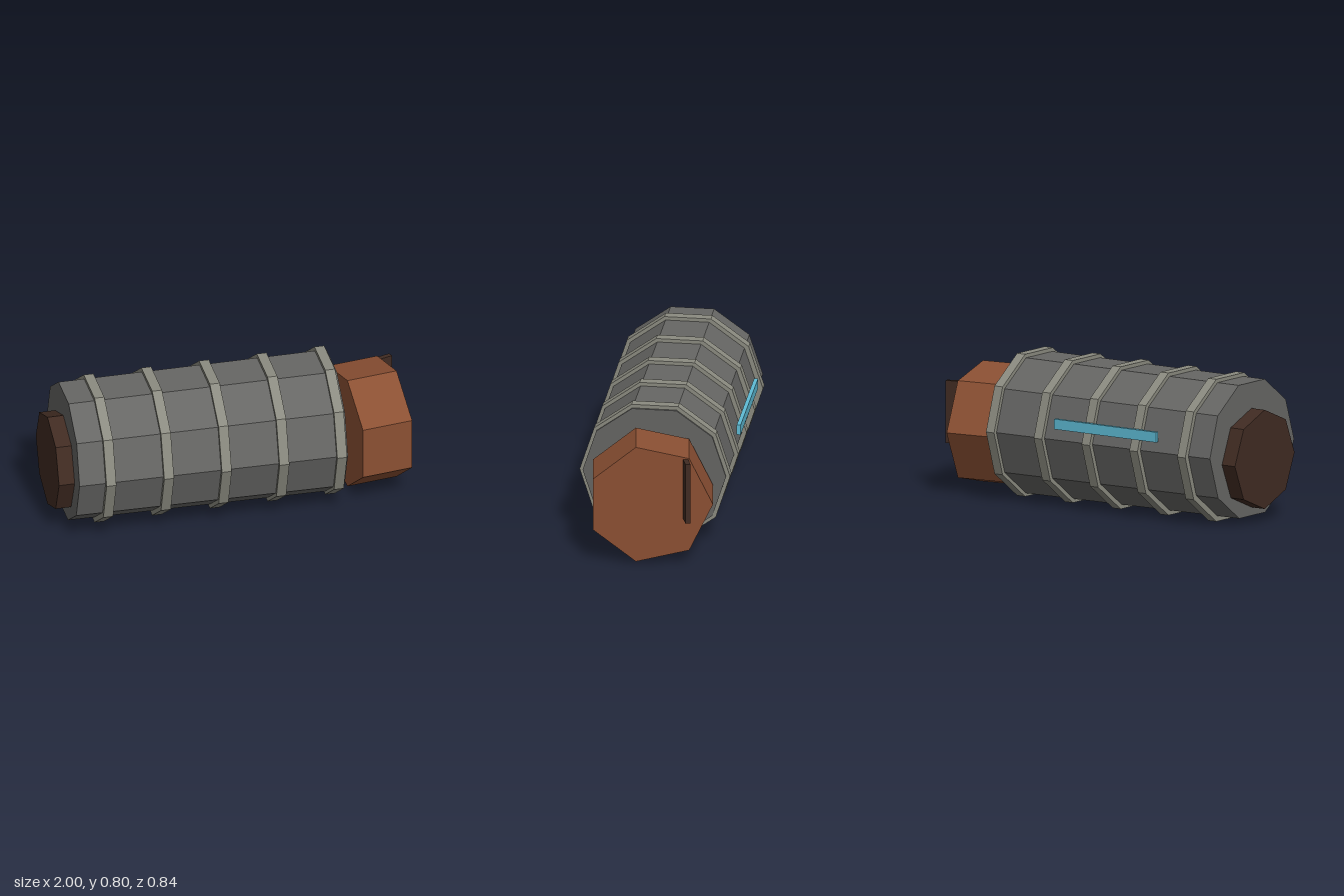
import * as THREE from 'three';

const paint = (color) => new THREE.MeshStandardMaterial({ color, flatShading: true });

// Faceted cylinder lying along x; its first corner points to +z (or -z when turned by PI)
function prism(name, rLeft, rRight, length, sides, material, turn = 0) {
  const geo = new THREE.CylinderGeometry(rRight, rLeft, length, sides);
  geo.rotateY(turn).rotateZ(-Math.PI / 2);
  const mesh = new THREE.Mesh(geo, material);
  mesh.name = name;
  return mesh;
}

function box(name, w, h, d, material) {
  const mesh = new THREE.Mesh(new THREE.BoxGeometry(w, h, d), material);
  mesh.name = name;
  return mesh;
}

export function createModel() {
  const group = new THREE.Group();
  group.name = 'canister';
  const steel = paint(0x666664);
  const bandMetal = paint(0x8b8b80);
  const rust = paint(0x8b5033);
  const darkRust = paint(0x402b22);
  const glow = paint(0x5fbcd6);

  // Ten-sided drum, slightly tapered and tilted
  const drum = prism('drum', 0.391, 0.398, 1.515, 10, steel);
  drum.position.set(-0.154, 0.401, 0.002);
  drum.rotation.z = -0.005;
  group.add(drum);

  // Five reinforcing bands
  const bands = new THREE.Group();
  bands.name = 'bands';
  for (let i = 0; i < 5; i++) {
    const band = prism('band', 0.418, 0.418, 0.055, 10, bandMetal);
    band.position.set(-0.737 + i * 0.326, 0.399, 0);
    bands.add(band);
  }
  group.add(bands);

  // Octagonal cap on the right-hand end
  const endCap = prism('endCap', 0.277, 0.277, 0.13, 8, darkRust);
  endCap.position.set(-0.935, 0.355, 0);
  group.add(endCap);

  // Seven-sided hatch standing ajar at the left-hand end
  const hatch = prism('hatch', 0.347, 0.347, 0.29, 7, rust, Math.PI);
  hatch.position.set(0.806, 0.353, -0.002);
  hatch.rotation.y = 0.14;
  group.add(hatch);

  // Upright handle on the hatch
  const handle = box('hatchHandle', 0.1, 0.35, 0.028, darkRust);
  handle.position.set(0.948, 0.445, -0.225);
  handle.rotation.y = 0.3;
  group.add(handle);

  // Light strip along the back
  const strip = box('lightStrip', 0.695, 0.057, 0.022, glow);
  strip.position.set(-0.212, 0.491, -0.401);
  group.add(strip);

  return group;
}
